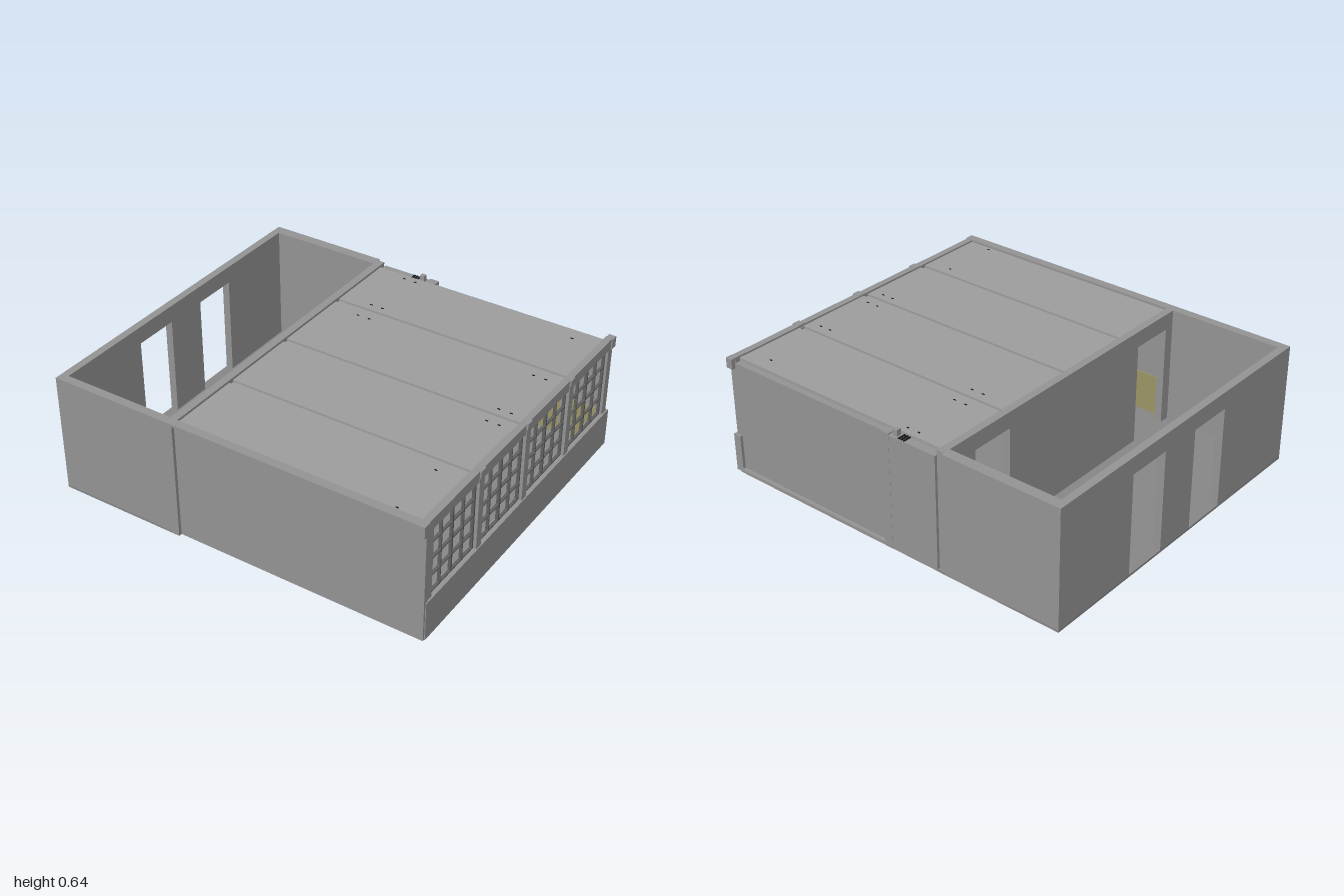
import * as THREE from 'three';

const paint = (color) => new THREE.MeshStandardMaterial({ color });
const wallGrey = paint(0x949494);
const roofGrey = paint(0x9e9e9e);
const floorGrey = paint(0x878787);
const barGrey = paint(0x606060);
const yellow = paint(0x9c9566);
const black = paint(0x151515);

// Box given by its limits on each axis.
function box(parent, name, [x0, x1], [y0, y1], [z0, z1], material = wallGrey) {
  const mesh = new THREE.Mesh(new THREE.BoxGeometry(x1 - x0, y1 - y0, z1 - z0), material);
  mesh.position.set((x0 + x1) / 2, (y0 + y1) / 2, (z0 + z1) / 2);
  mesh.name = name;
  parent.add(mesh);
}

// Wall running along z, with doorways cut up from the floor.
function doorWall(parent, name, x0, x1, zBack, zFront, height, doorTop, doors) {
  const s = new THREE.Shape();
  s.moveTo(zBack, 0);
  for (const [a, b] of doors) {
    s.lineTo(a, 0);
    s.lineTo(a, doorTop);
    s.lineTo(b, doorTop);
    s.lineTo(b, 0);
  }
  s.lineTo(zFront, 0);
  s.lineTo(zFront, height);
  s.lineTo(zBack, height);
  const geo = new THREE.ExtrudeGeometry(s, { depth: x1 - x0, bevelEnabled: false });
  geo.rotateY(-Math.PI / 2);
  geo.translate(x1, 0, 0);
  const mesh = new THREE.Mesh(geo, wallGrey);
  mesh.name = name;
  parent.add(mesh);
}

// Open window grid of four by four panes.
function gridWindow(parent, z0, z1) {
  const g = new THREE.Group();
  g.name = 'gridWindow';
  const y0 = 0.205, y1 = 0.57;
  for (let i = 0; i <= 4; i++) {
    const zc = z0 + (z1 - z0) * i / 4;
    const h = i % 2 ? 0.003 : 0.005;
    box(g, 'verticalBar', [0.957, 0.972], [y0, y1], [zc - h, zc + h], barGrey);
    const yc = y0 + (y1 - y0) * i / 4;
    const v = i % 4 ? 0.003 : 0.005;
    box(g, 'horizontalBar', [0.957, 0.972], [yc - v, yc + v], [z0, z1], barGrey);
  }
  parent.add(g);
}

export function createModel() {
  const model = new THREE.Group();
  model.name = 'classroomAndCorridor';
  const H = 0.63;

  // Floor slabs
  box(model, 'corridorFloor', [-1, -0.32], [0, 0.012], [-0.885, 0.885], floorGrey);
  box(model, 'roomFloor', [-0.32, 0.985], [0, 0.012], [-0.872, 0.862], floorGrey);

  // Open corridor
  doorWall(model, 'corridorOuterWall', -1, -0.96, -0.885, 0.885, H, 0.54, [[-0.38, -0.14], [0.09, 0.33]]);
  box(model, 'corridorFrontWall', [-0.96, -0.32], [0, H], [0.84, 0.885]);
  box(model, 'corridorBackWall', [-0.96, -0.36], [0, H], [-0.885, -0.83]);
  doorWall(model, 'partitionWall', -0.36, -0.32, -0.87, 0.84, H, 0.545, [[-0.665, -0.43], [0.55, 0.785]]);

  // Classroom front wall with its coping, and the recessed back wall
  box(model, 'roomFrontWall', [-0.32, 0.99], [0, 0.622], [0.84, 0.868]);
  box(model, 'frontCoping', [-0.32, 0.99], [0.618, H], [0.84, 0.885]);
  box(model, 'roomBackWall', [-0.32, 0.96], [0, 0.6], [-0.865, -0.83]);
  box(model, 'backWallSection', [-0.32, -0.05], [0, 0.605], [-0.884, -0.84]);
  box(model, 'backPilaster', [-0.05, 0], [0, 0.612], [-0.885, -0.84]);
  box(model, 'backWallCurb', [0, 0.96], [0, 0.018], [-0.885, -0.86]);

  // Yellow wainscot inside the room
  const band = [0.012, 0.225];
  box(model, 'frontWainscot', [-0.32, 0.95], band, [0.834, 0.84], yellow);
  box(model, 'backWainscot', [-0.32, 0.95], band, [-0.83, -0.824], yellow);
  for (const z of [[-0.824, -0.665], [-0.43, 0.55], [0.785, 0.834]]) {
    box(model, 'partitionWainscot', [-0.32, -0.314], band, z, yellow);
  }

  // Window side: sill wall, lintel, corner posts and pillars
  box(model, 'sillWall', [0.95, 0.994], [0, 0.203], [-0.88, 0.857]);
  box(model, 'lintel', [0.95, 0.985], [0.572, 0.627], [-0.86, 0.84]);
  box(model, 'frontCornerPost', [0.95, 0.985], [0.2, 0.6], [0.8, 0.86]);
  box(model, 'backCornerPost', [0.95, 0.985], [0.2, 0.6], [-0.865, -0.822]);
  for (const z of [0.405, -0.012, -0.43]) {
    box(model, 'pillar', [0.945, 0.988], [0.2, 0.615], [z - 0.021, z + 0.021]);
    box(model, 'pillarCap', [0.953, 0.993], [0.598, 0.629], [z - 0.021, z + 0.021]);
  }
  for (const z of [0.866, -0.865]) {
    box(model, 'cornerCap', [0.953, 0.991], [0.572, 0.625], [z - 0.02, z + 0.02]);
  }
  for (const [a, b] of [[0.43, 0.8], [0.012, 0.38], [-0.408, -0.035], [-0.82, -0.452]]) {
    gridWindow(model, a, b);
  }

  // Roof panels, with sunken joints over the ceiling beams
  const joints = [-0.435, 0.015, 0.445];
  const edges = [-0.835, ...joints.flatMap((z) => [z - 0.015, z + 0.015]), 0.84];
  for (let i = 0; i < edges.length; i += 2) {
    box(model, 'roofPanel', [-0.32, 0.95], [0.598, 0.618], [edges[i], edges[i + 1]], roofGrey);
  }
  for (const z of joints) {
    box(model, 'ceilingBeam', [-0.32, 0.95], [0.565, 0.606], [z - 0.015, z + 0.015], roofGrey);
  }

  // Small roof fixings
  const fixings = [
    [-0.155, [-0.8, -0.49, -0.37]], [-0.09, [-0.8, -0.49, -0.37]],
    [0.817, [-0.76, -0.37, -0.04, 0.07, 0.51, 0.82]], [0.88, [-0.37, -0.04, 0.07]],
  ];
  for (const [x, zs] of fixings) {
    for (const z of zs) box(model, 'roofFixing', [x - 0.007, x + 0.007], [0.615, 0.62], [z - 0.003, z + 0.003], black);
  }

  // Pipes on the back wall and a bracket inside
  for (let i = 0; i < 3; i++) {
    const x = -0.142 + i * 0.015;
    box(model, 'backPipe', [x, x + 0.009], [0.59, 0.609], [-0.88, -0.837], black);
  }
  box(model, 'pipeHood', [-0.09, -0.065], [0.59, 0.637], [-0.87, -0.845]);
  box(model, 'wallBracket', [0.8, 0.84], [0.502, 0.516], [-0.824, -0.775], black);

  return model;
}
